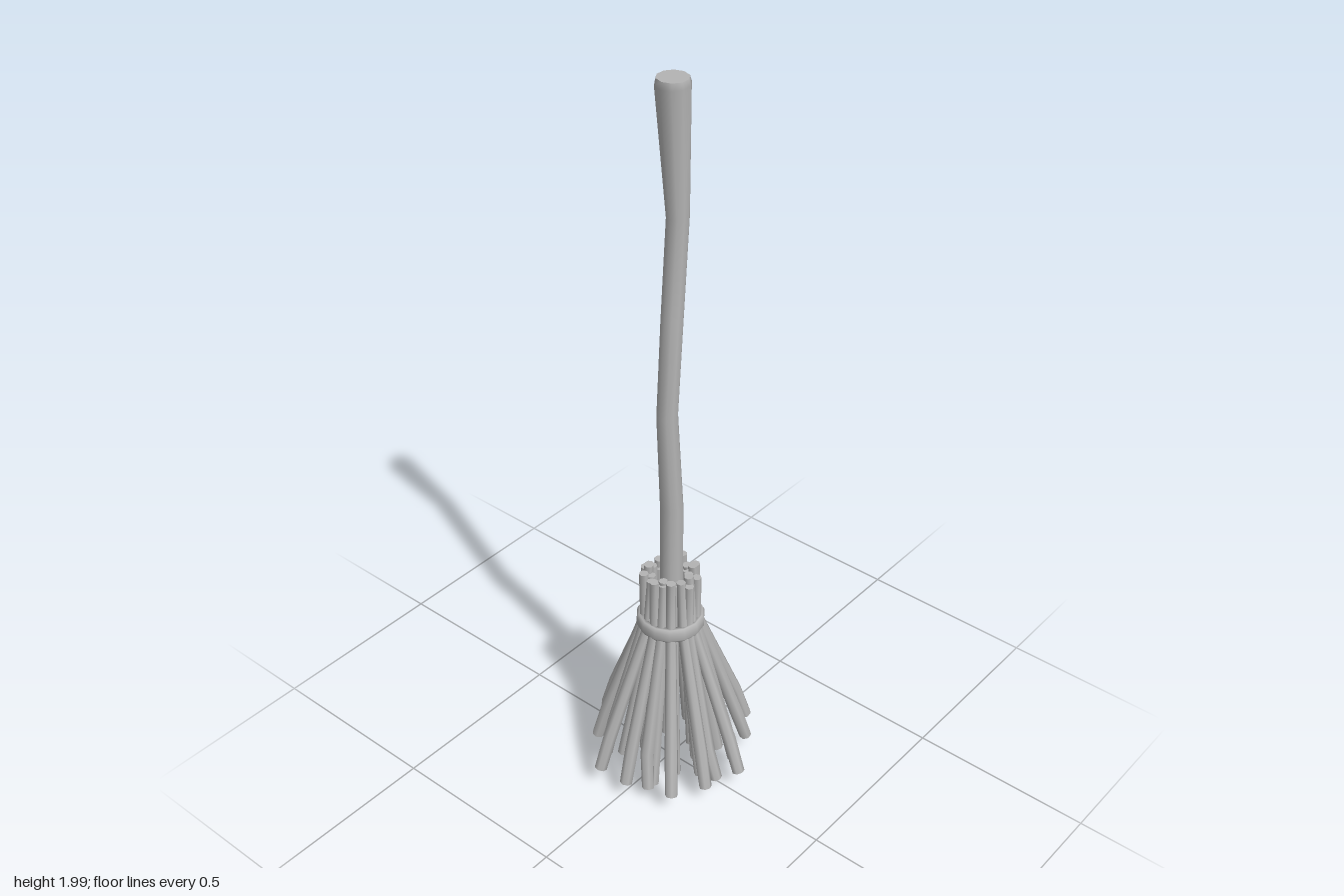
import * as THREE from 'three';

// Capped tube through points [x, y, z, radius], listed from bottom to top
function loft(points, sides, turn = 0) {
  const pos = [], index = [];
  const centres = points.map(p => new THREE.Vector3(p[0], p[1], p[2]));
  const last = points.length - 1;
  const rings = points.map((p, i) => {
    const t = centres[Math.min(i + 1, last)].clone().sub(centres[Math.max(i - 1, 0)]).normalize();
    const u = new THREE.Vector3(1, 0, 0).addScaledVector(t, -t.x).normalize();
    const v = t.clone().cross(u);
    return Array.from({ length: sides }, (_, j) => {
      const a = turn + j / sides * Math.PI * 2;
      return centres[i].clone().addScaledVector(u, Math.cos(a) * p[3]).addScaledVector(v, Math.sin(a) * p[3]);
    });
  });
  const add = v => pos.push(v.x, v.y, v.z) / 3 - 1;
  rings.forEach(r => r.forEach(add));
  for (let i = 0; i < last; i++) {
    for (let j = 0; j < sides; j++) {
      const k = (j + 1) % sides;
      const a = i * sides + j, b = i * sides + k, c = a + sides, d = b + sides;
      index.push(a, b, d, a, d, c);
    }
  }
  // End caps have their own vertices, so the rims stay sharp
  for (const end of [0, last]) {
    const centre = add(centres[end]);
    const rim = rings[end].map(add);
    rim.forEach((v, j) => {
      const w = rim[(j + 1) % sides];
      if (end === 0) index.push(centre, w, v);
      else index.push(centre, v, w);
    });
  }
  const g = new THREE.BufferGeometry();
  g.setAttribute('position', new THREE.Float32BufferAttribute(pos, 3));
  g.setIndex(index);
  g.computeVertexNormals();
  return g;
}

export function createModel() {
  const broom = new THREE.Group();
  broom.name = 'broom';
  const grey = new THREE.MeshStandardMaterial({ color: 0xb4b4b4 });
  grey.name = 'plain grey';
  const part = (name, geometry, parent = broom) => {
    const m = new THREE.Mesh(geometry, grey);
    m.name = name;
    parent.add(m);
    return m;
  };

  // Crooked handle, thicker at the top with a small bevel
  part('handle', loft([
    [0.004, 0.45, 0, 0.031], [0.004, 0.86, 0, 0.03], [-0.013, 1.14, 0, 0.027],
    [0.005, 1.4, 0, 0.028], [0.025, 1.66, 0, 0.028], [0.007, 1.985, 0, 0.042], [0.007, 2, 0, 0.038],
  ], 10));

  // Rounded binding around the twigs
  const ring = [[0.074, 0.483], [0.084, 0.484], [0.09, 0.493], [0.09, 0.515], [0.084, 0.525], [0.074, 0.526], [0.074, 0.483]];
  part('binding', new THREE.LatheGeometry(ring.map(p => new THREE.Vector2(...p)), 14));

  const twigs = new THREE.Group();
  twigs.name = 'twigs';
  broom.add(twigs);

  // Outer twigs: foot position [x, z] of each, splayed twigs ending higher
  const feet = [
    [-0.01, -0.225], [0.065, -0.195], [0.12, -0.142], [0.192, -0.125], [0.203, -0.051],
    [0.184, 0.026], [0.206, 0.098], [0.148, 0.145], [0.07, 0.165], [0.018, 0.223],
    [-0.022, 0.178], [-0.075, 0.185], [-0.166, 0.143], [-0.166, 0.062], [-0.2, 0.013],
    [-0.21, -0.069], [-0.138, -0.113], [-0.108, -0.17], [-0.06, -0.168],
  ];
  feet.forEach(([x, z], i) => {
    const r = Math.hypot(x, z), a = Math.atan2(z, x);
    const at = (radius, y, thick, swing = 0) => [Math.cos(a + swing) * radius, y, Math.sin(a + swing) * radius, thick];
    const footY = 0.045 + (r - 0.17) * 0.5;
    const bend = i % 3 === 1 ? 0.07 : 0;
    part('outerTwig', loft([
      at(r, footY, 0.017),
      at(r * 0.8 + 0.013, footY + 0.1, 0.018, bend),
      at(0.067, 0.505, 0.014),
      at(i % 2 ? 0.057 : 0.07, 0.645 + (i * 7 % 5) * 0.006, 0.0125),
    ], 7, i), twigs);
  });

  // Inner twigs filling the middle of the brush
  for (let i = 0; i < 12; i++) {
    const a = i / 12 * Math.PI * 2 + 0.2;
    const r = i % 2 ? 0.13 : 0.075;
    const c = Math.cos(a), s = Math.sin(a);
    part('innerTwig', loft([
      [c * r, 0.012 + (i * 5 % 4) * 0.008, s * r, 0.017],
      [c * 0.048, 0.5, s * 0.048, 0.014],
      [c * 0.05, 0.635 + (i % 3) * 0.012, s * 0.05, 0.012],
    ], 7, i), twigs);
  }
  return broom;
}
